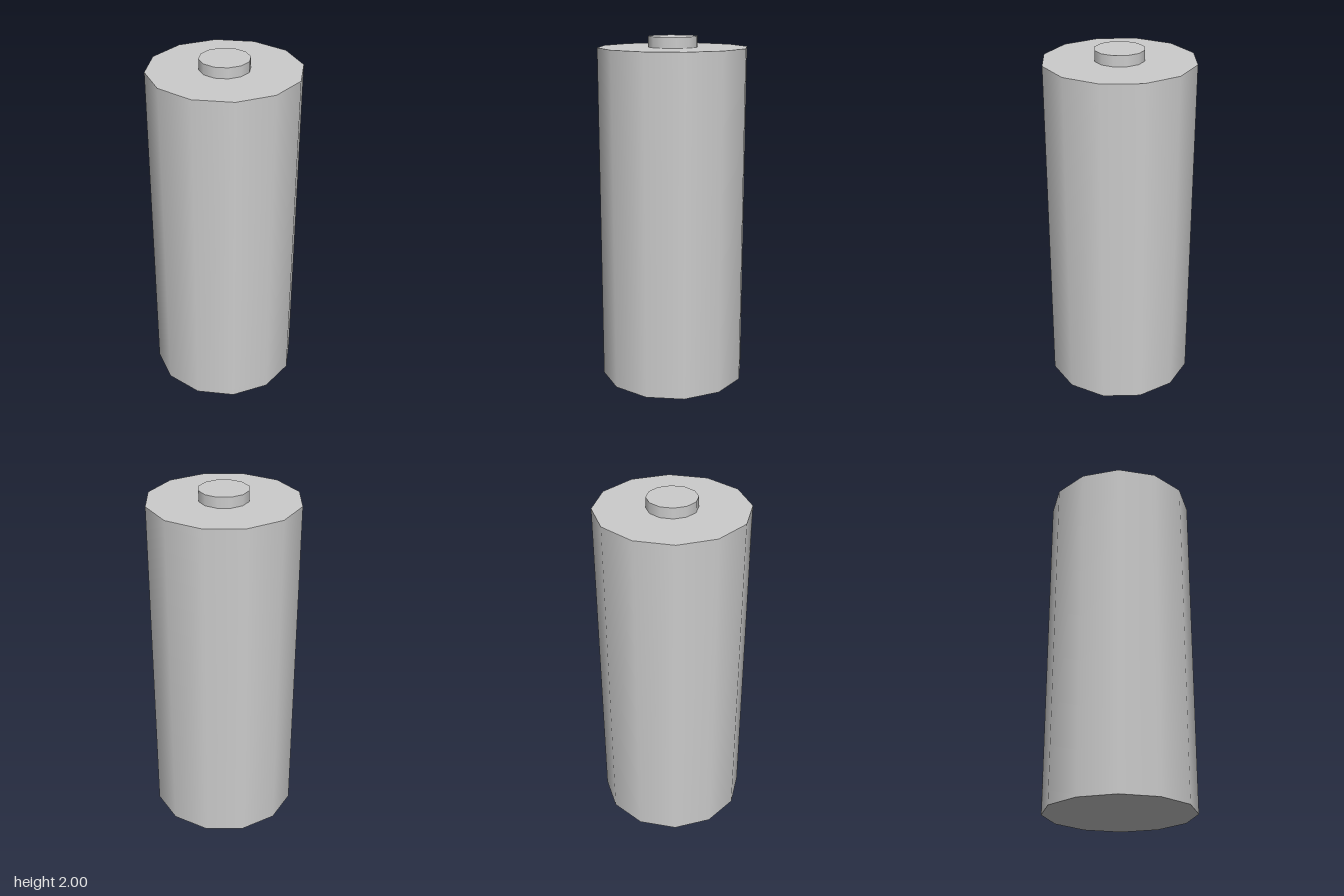
import * as THREE from 'three';

const SIDES = 12;

// Smooth-sided cylinder standing between two heights
function cylinder(name, radius, bottom, top, material) {
  const height = top - bottom;
  const mesh = new THREE.Mesh(new THREE.CylinderGeometry(radius, radius, height, SIDES), material);
  mesh.name = name;
  mesh.position.y = bottom + height / 2;
  return mesh;
}

export function createModel() {
  const model = new THREE.Group();
  model.name = 'battery';
  const grey = new THREE.MeshStandardMaterial({ color: 0xcccccc });

  // Main cell, with the small raised contact on top
  model.add(cylinder('body', 0.423, 0, 1.94, grey));
  model.add(cylinder('positiveTerminal', 0.139, 1.94, 2, grey));

  return model;
}
